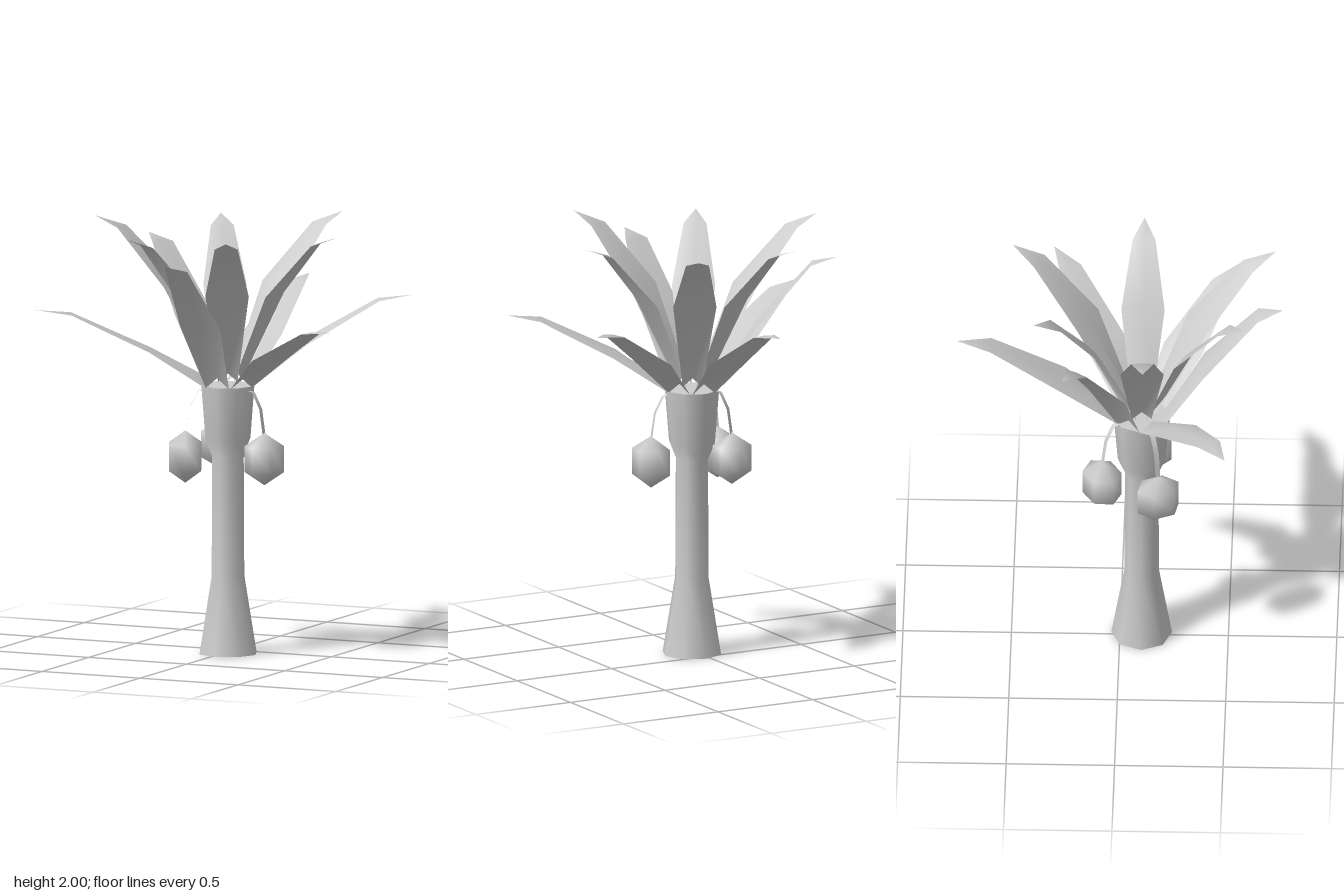
import * as THREE from 'three';

const CX = 0.02, CZ = 0.1; // trunk axis
const SIDES = 8;

// Skin rows of equal length into a smooth open surface
function sheet(rows) {
  const n = rows[0].length, index = [];
  for (let i = 0; i < rows.length - 1; i++) {
    for (let j = 0; j < n - 1; j++) {
      const a = i * n + j, b = a + n;
      index.push(a, a + 1, b, a + 1, b + 1, b);
    }
  }
  const g = new THREE.BufferGeometry();
  g.setAttribute('position', new THREE.Float32BufferAttribute(rows.flat(2), 3));
  g.setIndex(index);
  g.computeVertexNormals();
  return g;
}

// Leaf stations: share of the reach, share of the rise, half width, midrib lift
const UPPER = { radius: 0.05, y: 1.27, stations: [[0, 0, 0.045, 0.04], [0.37, 0.59, 0.1, 0.015], [0.78, 0.94, 0.053, 0.005], [1, 1, 0.001, 0]] };
const LOWER = { radius: 0.11, y: 1.245, stations: [[0, 0, 0.06, 0.05], [0.33, 0.48, 0.102, 0.015], [0.79, 0.95, 0.056, 0.005], [1, 1, 0.001, 0]] };

// Leaf running along +x from the trunk axis
function leafGeometry(layer, reach, tipY) {
  return sheet(layer.stations.map(([f, h, w, lift]) => {
    const x = layer.radius + f * (reach - layer.radius);
    const y = layer.y + h * (tipY - layer.y);
    return [[x, y, -w], [x, y + lift, 0], [x, y, w]];
  }));
}

export function createModel() {
  const model = new THREE.Group();
  const solid = new THREE.MeshStandardMaterial({ color: 0xcccccc });
  const thin = new THREE.MeshStandardMaterial({ color: 0xcccccc, side: THREE.DoubleSide });

  const add = (parent, name, geometry, material) => {
    const mesh = new THREE.Mesh(geometry, material);
    mesh.name = name;
    parent.add(mesh);
    return mesh;
  };

  // Trunk with flared foot and crown, closed at both ends
  const trunk = new THREE.Group();
  trunk.name = 'trunk';
  trunk.position.set(CX, 0, CZ);
  const profile = [[0.14, 0], [0.08, 0.36], [0.077, 0.92], [0.11, 1.0], [0.13, 1.25]];
  add(trunk, 'bark', new THREE.LatheGeometry(profile.map(p => new THREE.Vector2(...p)), SIDES), solid);
  add(trunk, 'trunkBase', new THREE.CircleGeometry(0.14, SIDES).rotateX(Math.PI / 2), solid);
  add(trunk, 'trunkTop', new THREE.CircleGeometry(0.13, SIDES).rotateX(-Math.PI / 2).translate(0, 1.25, 0), solid);
  model.add(trunk);

  // Crown of leaves, each given by its tip
  const crown = new THREE.Group();
  crown.name = 'crown';
  crown.position.set(CX, 0, CZ);
  const tips = [
    [UPPER, [[0.32, 2, -0.5], [-0.25, 1.97, -0.39], [-0.65, 2, 0.12], [0.58, 1.97, 0.1], [0.3, 2, 0.71], [-0.27, 1.97, 0.58]]],
    [LOWER, [[0.03, 1.66, -0.75], [-0.55, 1.88, -0.25], [-0.77, 1.6, 0.5], [0.76, 1.66, -0.32], [0.75, 1.59, 0.54], [0.01, 1.88, 0.75]]],
  ];
  for (const [layer, list] of tips) {
    for (const [x, y, z] of list) {
      const dx = x - CX, dz = z - CZ;
      const leaf = add(crown, 'leaf', leafGeometry(layer, Math.hypot(dx, dz), y), thin);
      leaf.rotation.y = Math.atan2(-dz, dx);
    }
  }
  model.add(crown);

  // Hanging fruits, flattened towards the trunk, on flat curved stems
  for (const [x, y, z] of [[0.22, 0.92, 0.13], [-0.16, 0.915, 0.18], [-0.09, 0.945, -0.08]]) {
    const dx = x - CX, dz = z - CZ, reach = Math.hypot(dx, dz);
    const fruit = new THREE.Group();
    fruit.name = 'hangingFruit';
    fruit.position.set(CX, 0, CZ);
    fruit.rotation.y = Math.atan2(-dz, dx);

    const body = new THREE.SphereGeometry(1, 6, 3).rotateY(Math.PI / 2);
    add(fruit, 'fruit', body.scale(0.099, 0.122, 0.119).translate(reach, y, 0), solid);

    const path = [[0.1, y + 0.315], [reach - 0.06, y + 0.305], [reach - 0.02, y + 0.23], [reach, y + 0.1]];
    add(fruit, 'stem', sheet(path.map(([r, h]) => [[r, h, -0.012], [r, h, 0.012]])), thin);
    model.add(fruit);
  }
  return model;
}
